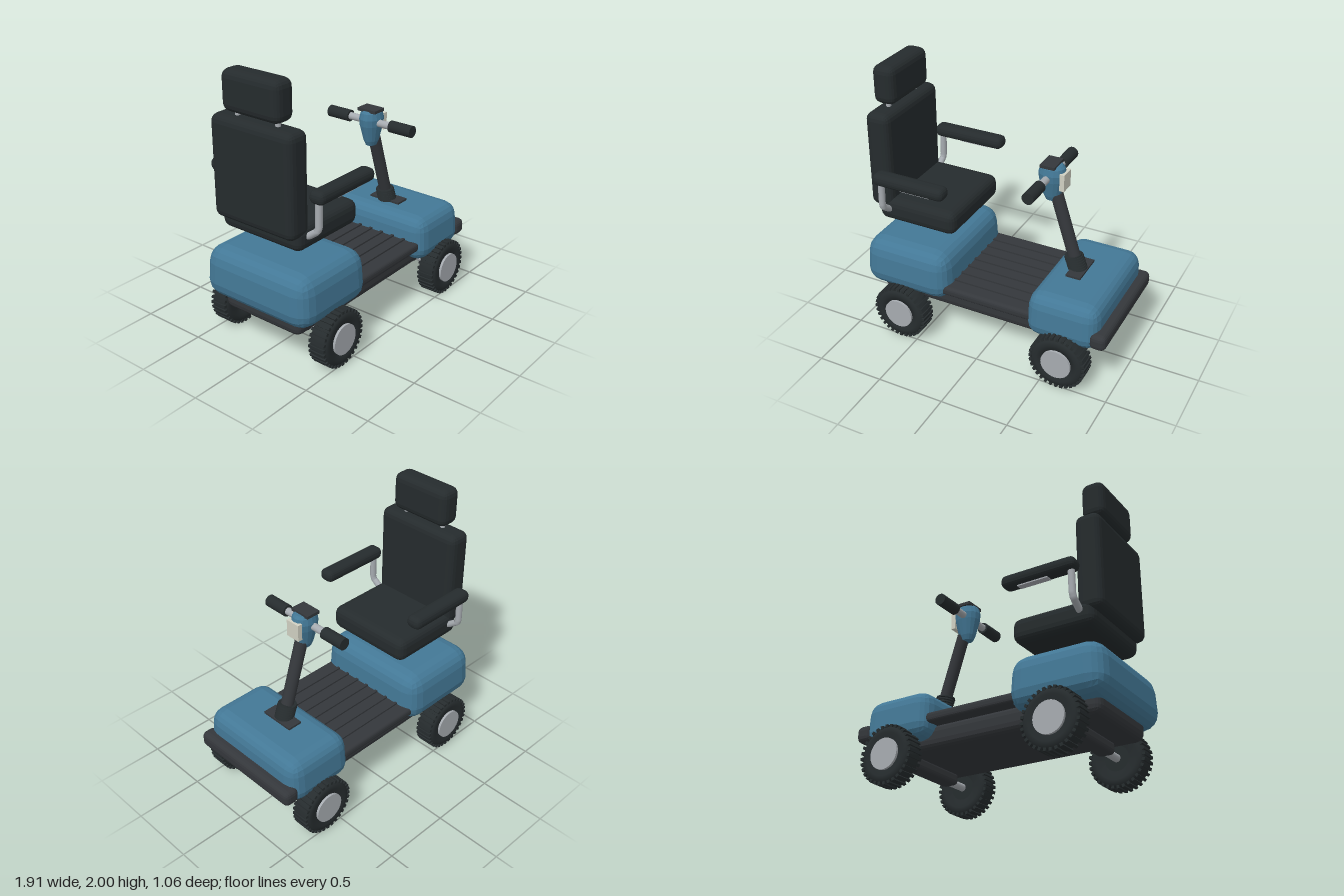
import * as THREE from 'three';
import { RoundedBoxGeometry } from 'three/addons/geometries/RoundedBoxGeometry.js';

const mat = (color, flatShading = false) => new THREE.MeshStandardMaterial({ color, flatShading });
const BLUE = mat(0x437896, true);
const PADDING = mat(0x252b2d, true);
const PLASTIC = mat(0x34373b, true);
const RUBBER = mat(0x262c2e);
const COLUMN = mat(0x34373b);
const METAL = mat(0xa6abb0);
const SCREEN = mat(0xd0d0c2);

export function createModel() {
  const model = new THREE.Group();

  const add = (name, geometry, material, x = 0, y = 0, z = 0, parent = model) => {
    const mesh = new THREE.Mesh(geometry, material);
    mesh.name = name;
    mesh.position.set(x, y, z);
    parent.add(mesh);
    return mesh;
  };

  // Rounded block given by its limits; taper narrows it towards the top
  const block = (name, material, [x0, x1], [y0, y1], [z0, z1], radius, segments = 2, taper = 0) => {
    const h = y1 - y0;
    const geometry = new RoundedBoxGeometry(x1 - x0, h, z1 - z0, segments, radius);
    const p = geometry.attributes.position;
    for (let i = 0; i < p.count; i++) {
      const s = 1 - taper * Math.max(0, p.getY(i) / h + 0.2);
      p.setX(i, p.getX(i) * s);
      p.setZ(i, p.getZ(i) * s);
    }
    return add(name, geometry, material, (x0 + x1) / 2, (y0 + y1) / 2, (z0 + z1) / 2);
  };

  // Straight rod between two points
  const rod = (name, material, a, b, radius, sides = 20) => {
    const from = new THREE.Vector3(...a), to = new THREE.Vector3(...b);
    const dir = to.clone().sub(from);
    const mesh = add(name, new THREE.CylinderGeometry(radius, radius, dir.length(), sides), material);
    mesh.position.copy(from).lerp(to, 0.5);
    mesh.quaternion.setFromUnitVectors(new THREE.Vector3(0, 1, 0), dir.normalize());
    return mesh;
  };

  // Body shells, chassis and bumper
  block('rearBody', BLUE, [-0.96, -0.27], [0.35, 0.73], [-0.46, 0.46], 0.12, 2, 0.05);
  block('frontBody', BLUE, [0.35, 0.885], [0.32, 0.66], [-0.46, 0.46], 0.1, 2, 0.05);
  block('chassis', PLASTIC, [-0.88, 0.72], [0.255, 0.43], [-0.34, 0.34], 0.06);
  block('bumper', PLASTIC, [0.83, 0.95], [0.365, 0.485], [-0.455, 0.455], 0.04);

  // Ribbed floor
  block('floor', PLASTIC, [-0.33, 0.385], [0.415, 0.485], [-0.42, 0.42], 0.025);
  for (let i = -3; i <= 3; i++) {
    add('floorRib', new THREE.BoxGeometry(0.7, 0.025, 0.022), PLASTIC, 0.03, 0.485, i * 0.1);
  }

  // Wheels: turned tyre, tread lugs and hub cap, plus axles
  const tyreProfile = [[0.09, -0.06], [0.15, -0.073], [0.18, -0.07], [0.198, -0.05],
    [0.2, 0], [0.198, 0.05], [0.18, 0.07], [0.15, 0.073], [0.09, 0.06], [0.09, -0.06]]
    .map(([r, y]) => new THREE.Vector2(r, y));
  const tyre = new THREE.LatheGeometry(tyreProfile, 40).rotateX(Math.PI / 2);
  const lug = new THREE.BoxGeometry(0.02, 0.022, 0.13);
  const hub = new THREE.CylinderGeometry(0.11, 0.11, 0.05, 32).rotateX(Math.PI / 2);
  const innerDisc = new THREE.CylinderGeometry(0.1, 0.1, 0.05, 32).rotateX(Math.PI / 2);
  for (const x of [-0.63, 0.63]) {
    for (const side of [1, -1]) {
      const wheel = new THREE.Group();
      wheel.name = 'wheel';
      wheel.position.set(x, 0.21, side * 0.449);
      add('tyre', tyre, RUBBER, 0, 0, 0, wheel);
      add('hubCap', hub, METAL, 0, 0, side * 0.057, wheel);
      add('innerDisc', innerDisc, RUBBER, 0, 0, side * -0.035, wheel);
      for (let i = 0; i < 32; i++) {
        const a = (i / 32) * Math.PI * 2;
        const m = add('treadLug', lug, RUBBER, Math.cos(a) * 0.198, Math.sin(a) * 0.198, 0, wheel);
        m.rotation.z = a + Math.PI / 2;
      }
      model.add(wheel);
    }
    rod('axle', METAL, [x, 0.21, -0.42], [x, 0.21, 0.42], 0.028);
    block('axleHousing', PLASTIC, [x - 0.065, x + 0.065], [0.18, 0.275], [-0.25, 0.25], 0.03);
  }

  // Seat, backrest and headrest
  rod('seatPost', METAL, [-0.56, 0.68, 0], [-0.56, 0.9, 0], 0.063, 24);
  block('seatCushion', PADDING, [-0.865, -0.25], [0.87, 1.05], [-0.345, 0.345], 0.06);
  block('backrest', PADDING, [-0.93, -0.745], [0.97, 1.69], [-0.345, 0.345], 0.055);
  block('headrest', PADDING, [-0.92, -0.75], [1.72, 2], [-0.242, 0.242], 0.055);

  for (const s of [1, -1]) {
    rod('headrestPost', METAL, [-0.835, 1.64, s * 0.17], [-0.835, 1.78, s * 0.17], 0.018, 12);

    // Armrest on a bent tube
    block('armrest', PADDING, [-0.81, -0.25], [1.22, 1.312], [s * 0.428 - 0.059, s * 0.428 + 0.059], 0.04);
    const path = new THREE.CurvePath();
    const pts = [[-0.77, 0.965, 0.31], [-0.77, 0.975, 0.345], [-0.77, 1.03, 0.42], [-0.768, 1.06, 0.428], [-0.765, 1.25, 0.428]]
      .map(([x, y, z]) => new THREE.Vector3(x, y, s * z));
    for (let i = 0; i < pts.length - 1; i++) path.add(new THREE.LineCurve3(pts[i], pts[i + 1]));
    add('armrestTube', new THREE.TubeGeometry(path, 24, 0.024, 12), METAL);
    add('armrestPlate', new THREE.BoxGeometry(0.23, 0.015, 0.05), METAL, -0.485, 1.22, s * 0.428);
  }

  // Steering column with base plate and bellows
  add('columnBase', new THREE.BoxGeometry(0.11, 0.02, 0.26), PLASTIC, 0.57, 0.665, 0);
  rod('steeringColumn', COLUMN, [0.56, 0.64, 0], [0.375, 1.22, 0], 0.045, 20);
  for (let i = 0; i < 6; i++) {
    const ring = add('bellowsRing', new THREE.CylinderGeometry(0.066, 0.07, 0.012, 24), RUBBER,
      0.551 - i * 0.006, 0.675 + i * 0.017, 0);
    ring.rotation.z = 0.1;
  }
  rod('bellowsCore', RUBBER, [0.552, 0.665, 0], [0.52, 0.765, 0], 0.056, 20);

  // Control head with cap and display
  const headProfile = [[0, 1.17], [0.045, 1.175], [0.062, 1.21], [0.095, 1.33], [0.1, 1.38],
    [0.088, 1.425], [0.07, 1.442], [0, 1.442]].map(([r, y]) => new THREE.Vector2(r, y));
  const head = add('controlHead', new THREE.LatheGeometry(headProfile, 16), BLUE, 0.34);
  head.scale.z = 0.83;
  add('headCap', new THREE.BoxGeometry(0.11, 0.022, 0.155), PLASTIC, 0.33, 1.445, 0);
  add('display', new THREE.BoxGeometry(0.035, 0.125, 0.11), SCREEN, 0.432, 1.34, 0);

  // Handlebar and grips
  rod('handlebar', METAL, [0.328, 1.355, -0.2], [0.328, 1.355, 0.2], 0.027);
  for (const s of [1, -1]) {
    rod('grip', RUBBER, [0.328, 1.355, s * 0.18], [0.328, 1.355, s * 0.365], 0.043, 24);
  }

  return model;
}
